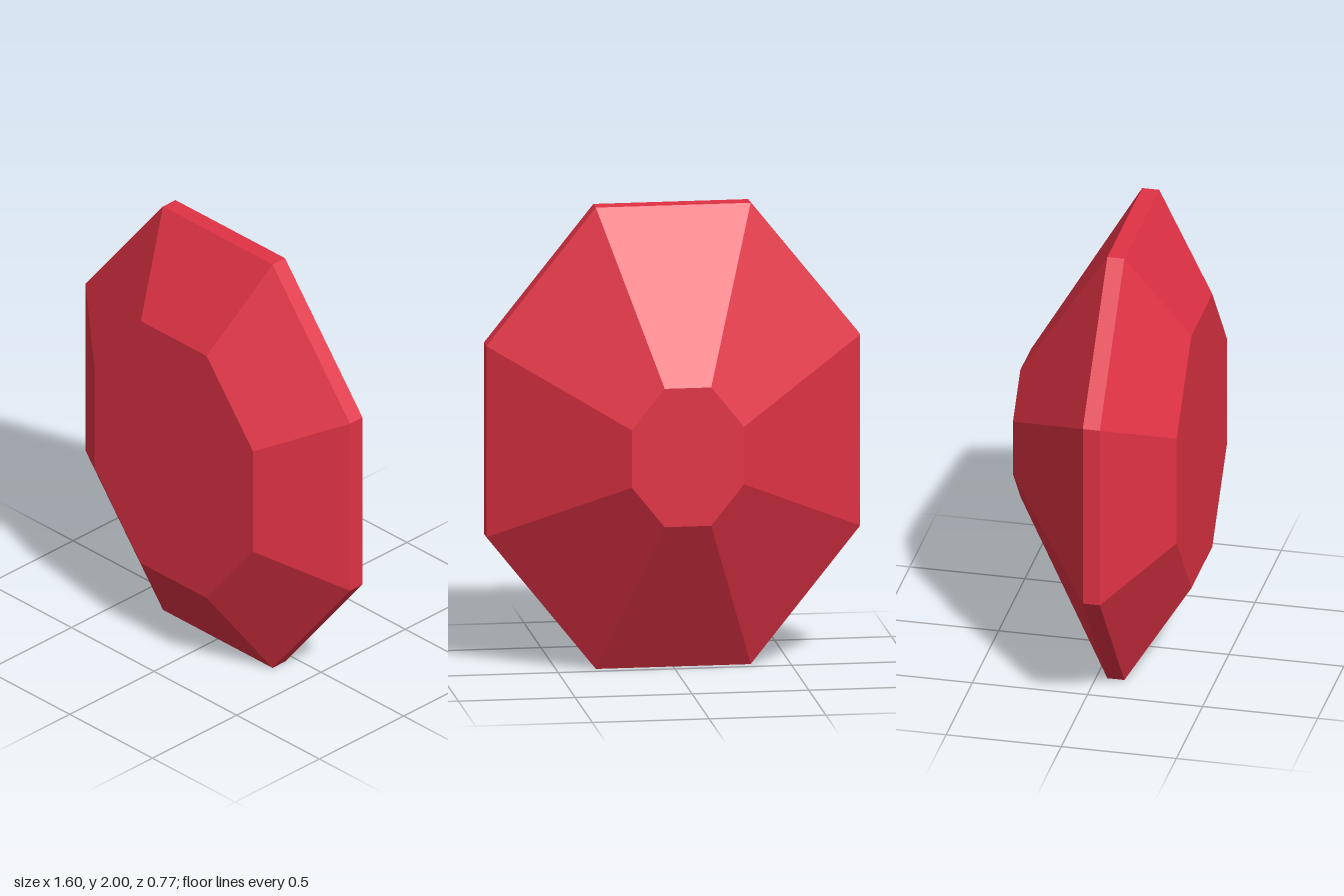
import * as THREE from 'three';

const SIDES = 8;
const CORNER = 1 / Math.cos(Math.PI / SIDES); // corner radius for a flat-to-flat half width of 1

export function createModel() {
  const gem = new THREE.Group();
  gem.name = 'gem';
  const ruby = new THREE.MeshStandardMaterial({ color: 0xe03244 });
  ruby.name = 'ruby red';

  // Faceted ring swept from [scale, depth] pairs, listed from back to front
  function facets(name, profile) {
    const points = profile.map(([s, z]) => new THREE.Vector2(s * CORNER, z));
    const geometry = new THREE.LatheGeometry(points, SIDES, Math.PI / SIDES)
      .rotateX(Math.PI / 2)
      .scale(0.8, 1, 1)
      .translate(0, 1, 0)
      .toNonIndexed();
    geometry.computeVertexNormals(); // one flat normal per facet
    const mesh = new THREE.Mesh(geometry, ruby);
    mesh.name = name;
    gem.add(mesh);
  }

  facets('culet', [[0, -0.383], [0.3, -0.383]]);      // small flat back
  facets('pavilion', [[0.3, -0.383], [1, 0.048]]);    // long back slopes
  facets('girdle', [[1, 0.048], [1, 0.122]]);         // thin rim
  facets('crown', [[1, 0.122], [0.6, 0.383]]);        // front slopes
  facets('table', [[0.6, 0.383], [0, 0.383]]);        // large flat front

  return gem;
}
